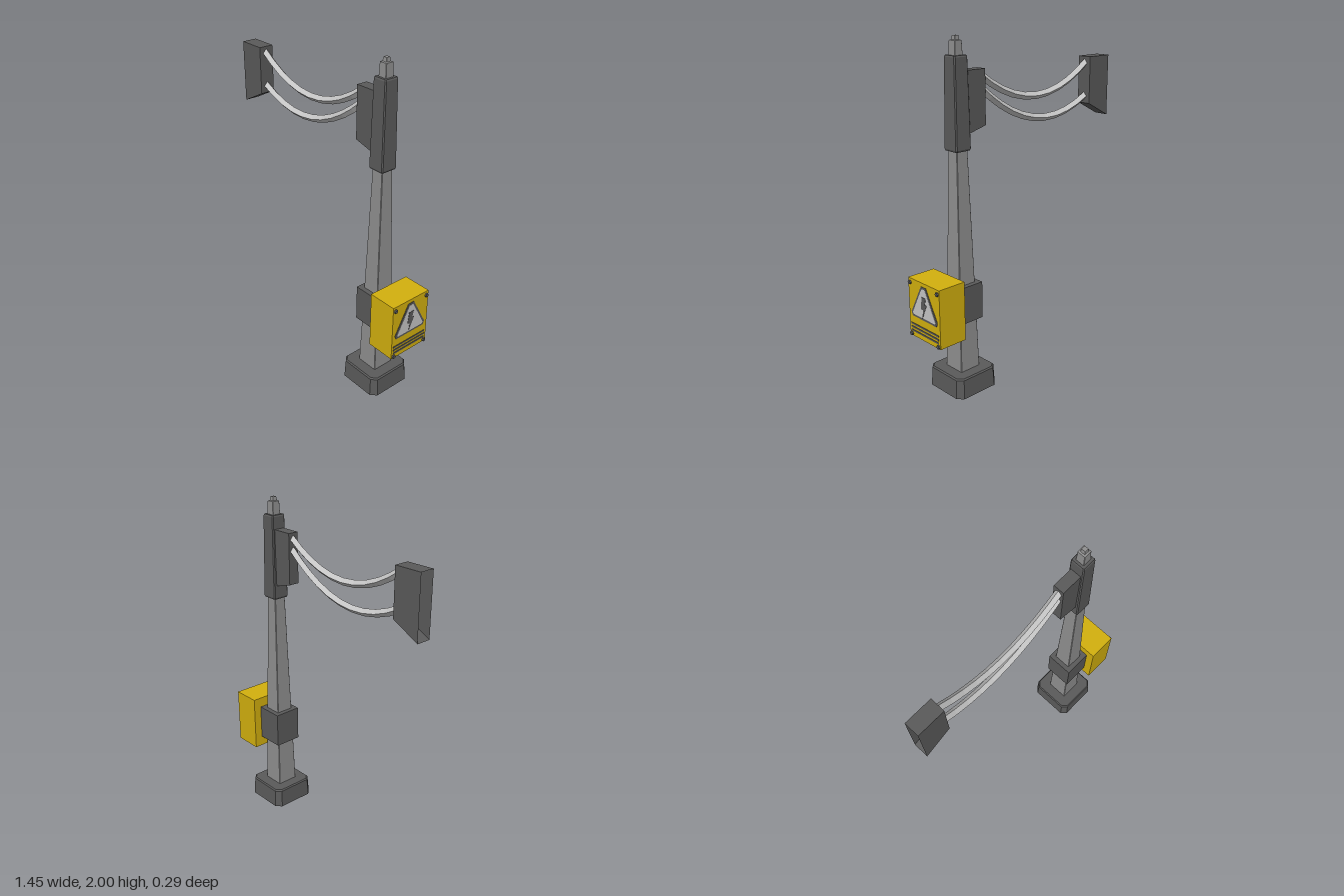
import * as THREE from 'three';

const POST_X = 0.453;

function material(name, color, side = THREE.FrontSide) {
  const m = new THREE.MeshStandardMaterial({ color, side });
  m.name = name;
  return m;
}

// Skin a series of matching rings with flat faces; optionally close the ends
function loft(rings, capStart = true, capEnd = true) {
  const pos = [];
  const n = rings[0].length;
  const tri = (a, b, c) => pos.push(...a, ...b, ...c);
  for (let r = 0; r < rings.length - 1; r++) {
    for (let i = 0; i < n; i++) {
      const j = (i + 1) % n;
      const [a, b] = [rings[r], rings[r + 1]];
      tri(a[i], a[j], b[j]);
      tri(a[i], b[j], b[i]);
    }
  }
  const first = rings[0], last = rings[rings.length - 1];
  for (let i = 1; i < n - 1; i++) {
    if (capStart) tri(first[0], first[i + 1], first[i]);
    if (capEnd) tri(last[0], last[i], last[i + 1]);
  }
  const g = new THREE.BufferGeometry();
  g.setAttribute('position', new THREE.Float32BufferAttribute(pos, 3));
  g.computeVertexNormals();
  return g;
}

// Square ring with cut corners around the post axis: h = half width, c = corner cut
function ring(y, h, c) {
  const k = h - c;
  return [[h, k], [k, h], [-k, h], [-h, k], [-h, -k], [-k, -h], [k, -h], [h, -k]]
    .map(([x, z]) => [POST_X + x, y, -z]);
}

// Upright rectangular ring across the x axis
const section = (x, y0, y1, w) => [[x, y0, -w], [x, y1, -w], [x, y1, w], [x, y0, w]];

export function createModel() {
  const group = new THREE.Group();
  const dark = material('dark grey metal', 0x5a5a5a);
  const darkShell = material('dark grey shell', 0x5a5a5a, THREE.DoubleSide);
  const grey = material('post grey', 0x8f8f8f, THREE.DoubleSide);
  const light = material('light grey', 0xc6c6c6);
  const yellow = material('warning yellow', 0xd3b00e);

  const add = (name, geometry, mat, x = 0, y = 0, z = 0) => {
    const mesh = new THREE.Mesh(geometry, mat);
    mesh.name = name;
    mesh.position.set(x, y, z);
    group.add(mesh);
    return mesh;
  };

  // Hollow foot, open underneath
  add('foot', loft([
    ring(0, 0.145, 0.032), ring(0.112, 0.139, 0.03),
    ring(0.12, 0.132, 0.027), ring(0.12, 0.064, 0.002),
  ], false, false), darkShell);

  // Tapering post, sleeve and stepped tip
  add('post', loft([ring(0.12, 0.068, 0.003), ring(1.41, 0.037, 0.003)], false, true), grey);
  add('sleeve', loft([
    ring(1.398, 0.048, 0.005), ring(1.408, 0.052, 0.006),
    ring(1.892, 0.045, 0.006), ring(1.9, 0.041, 0.005),
  ]), dark);
  add('tip', loft([
    ring(1.89, 0.027, 0.002), ring(1.975, 0.024, 0.002),
    ring(1.978, 0.015, 0.001), ring(2.0, 0.012, 0.001),
  ]), grey);

  // Cable holders: one on the post, one hollow at the far end
  add('postCableHolder', loft([
    section(0.28, 1.515, 1.82, 0.033), section(0.42, 1.478, 1.82, 0.033),
  ]), dark);
  add('farCableHolder', loft([
    section(-0.725, 1.45, 1.82, 0.045), section(-0.555, 1.537, 1.82, 0.045),
  ], false, true), darkShell);

  // Sagging four-sided cables
  const cable = (name, yLeft, yMid, yRight) => {
    const curve = new THREE.QuadraticBezierCurve3(
      new THREE.Vector3(-0.565, yLeft, 0),
      new THREE.Vector3(-0.1375, yMid, 0),
      new THREE.Vector3(0.29, yRight, 0));
    const g = new THREE.TubeGeometry(curve, 10, 0.022, 4).toNonIndexed();
    g.computeVertexNormals();
    add(name, g, light);
  };
  cable('upperCable', 1.787, 1.469, 1.787);
  cable('lowerCable', 1.585, 1.345, 1.72);

  // Bracket and electrical box
  add('boxBracket', new THREE.BoxGeometry(0.172, 0.217, 0.17), dark, 0.455, 0.533, 0);
  add('electricalBox', new THREE.BoxGeometry(0.175, 0.345, 0.27), yellow, 0.6275, 0.5325, 0);

  // Thin plates on the outer face of the box, drawn as (across, up)
  const FACE = 0.715;
  const plate = (name, points, mat, from, depth) => {
    const shape = new THREE.Shape(points.map(([u, v]) => new THREE.Vector2(u, v)));
    const g = new THREE.ExtrudeGeometry(shape, { depth, bevelEnabled: false });
    g.rotateY(Math.PI / 2);
    add(name, g, mat, FACE + from);
  };
  plate('signBorder', [[-0.021, 0.683], [-0.105, 0.485], [-0.115, 0.508]].length && [
    [-0.021, 0.683], [-0.115, 0.508], [-0.105, 0.485],
    [0.105, 0.485], [0.115, 0.508], [0.021, 0.683],
  ], dark, 0, 0.002);
  plate('signPanel', [
    [-0.014, 0.671], [-0.101, 0.508], [-0.097, 0.498],
    [0.097, 0.498], [0.101, 0.508], [0.014, 0.671],
  ], light, 0.001, 0.0025);
  plate('signBolt', [
    [-0.014, 0.624], [-0.024, 0.55], [-0.006, 0.55], [-0.012, 0.499],
    [0.027, 0.583], [0.012, 0.585], [0.021, 0.624],
  ], dark, 0.002, 0.003);

  // Warning stripes below the sign
  for (const y of [0.435, 0.414, 0.393]) {
    add('stripe', new THREE.BoxGeometry(0.003, 0.01, 0.244), dark, FACE + 0.001, y, 0);
  }

  // Corner screws
  for (const y of [0.372, 0.68]) {
    for (const z of [-0.119, 0.119]) {
      const g = new THREE.CylinderGeometry(0.011, 0.013, 0.01, 6).toNonIndexed();
      g.computeVertexNormals();
      g.rotateZ(-Math.PI / 2);
      add('screw', g, dark, FACE + 0.004, y, z);
    }
  }

  return group;
}
